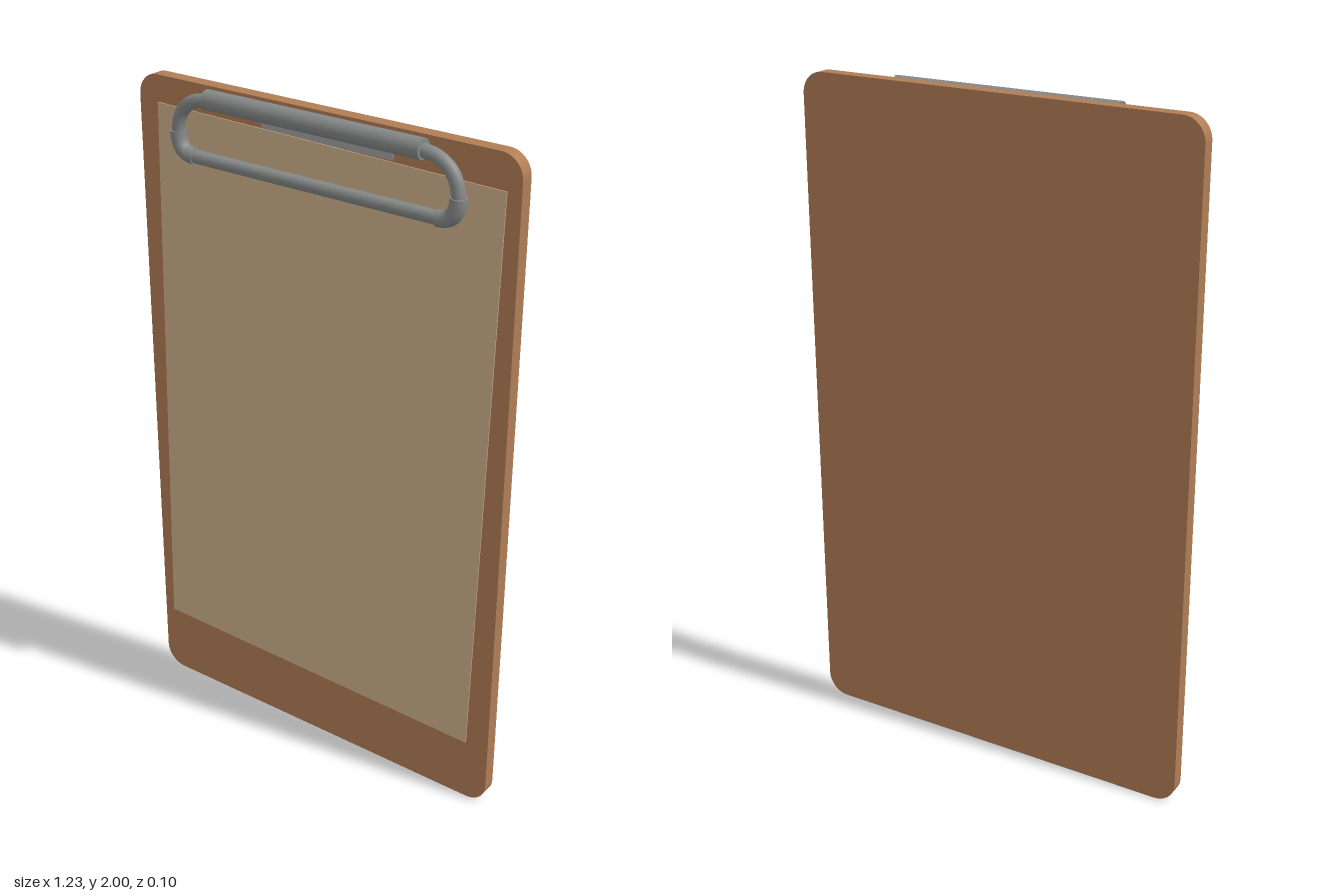
import * as THREE from 'three';

const wood = new THREE.MeshStandardMaterial({ color: 0xb07d56 });
wood.name = 'wood';
const paperTan = new THREE.MeshStandardMaterial({ color: 0xcdb08c });
paperTan.name = 'paper tan';
const steel = new THREE.MeshStandardMaterial({ color: 0x858988 });
steel.name = 'steel';
const paleSteel = new THREE.MeshStandardMaterial({ color: 0xa3a1a2 });
paleSteel.name = 'pale steel';

const CLIP_Z = 0.02;

function add(parent, name, geometry, material, x = 0, y = 0, z = 0) {
  const mesh = new THREE.Mesh(geometry, material);
  mesh.name = name;
  mesh.position.set(x, y, z);
  parent.add(mesh);
  return mesh;
}

// Rectangle with quarter-round corners, standing on y = 0
function roundedRect(halfWidth, height, r) {
  const s = new THREE.Shape();
  s.absarc(halfWidth - r, r, r, -Math.PI / 2, 0);
  s.absarc(halfWidth - r, height - r, r, 0, Math.PI / 2);
  s.absarc(r - halfWidth, height - r, r, Math.PI / 2, Math.PI);
  s.absarc(r - halfWidth, r, r, Math.PI, Math.PI * 1.5);
  s.closePath();
  return s;
}

// Horizontal rod along x
function rod(radius, length) {
  return new THREE.CylinderGeometry(radius, radius, length, 24).rotateZ(Math.PI / 2);
}

// Quarter bend in the plane of the clip
function bend(points, side) {
  const [a, b, c, d] = points.map(([x, y]) => new THREE.Vector3(x * side, y, 0));
  return new THREE.CubicBezierCurve3(a, b, c, d);
}

export function createModel() {
  const model = new THREE.Group();
  model.name = 'clipboard';

  // Board and slightly crooked sheet
  const boardShape = roundedRect(0.615, 2, 0.065);
  add(model, 'board', new THREE.ExtrudeGeometry(boardShape, {
    depth: 0.041, bevelEnabled: false, curveSegments: 8,
  }), wood, 0, 0, -0.05);
  const paper = add(model, 'paper', new THREE.BoxGeometry(1.122, 1.704, 0.003), paperTan, -0.002, 1.061, -0.0055);
  paper.rotation.z = -0.0187;

  // Clip: mounting plate, hinge sleeve and wire loop
  const clip = new THREE.Group();
  clip.name = 'clip';
  clip.position.z = CLIP_Z;
  model.add(clip);
  add(clip, 'mountingPlate', new THREE.BoxGeometry(0.425, 0.06, 0.003), paleSteel, 0.027, 1.942, -0.0285);
  add(clip, 'hingeSleeve', rod(0.028, 0.696), steel, -0.001, 1.972, 0);
  add(clip, 'lowerWire', rod(0.019, 0.82), steel, 0, 1.803, 0);

  for (const side of [-1, 1]) {
    const upper = bend([[0.33, 1.968], [0.42, 1.972], [0.455, 1.92], [0.453, 1.855]], side);
    add(clip, 'upperBend', new THREE.TubeGeometry(upper, 24, 0.019, 16), steel);

    // Thicker elbow with closed ends
    const lower = bend([[0.454, 1.868], [0.452, 1.82], [0.435, 1.803], [0.395, 1.803]], side);
    add(clip, 'elbow', new THREE.TubeGeometry(lower, 20, 0.023, 16), steel);
    for (const t of [0, 1]) {
      const cap = add(clip, 'elbowCap', new THREE.CircleGeometry(0.023, 16), steel);
      cap.position.copy(lower.getPoint(t));
      const outward = lower.getTangent(t).multiplyScalar(t ? 1 : -1);
      cap.quaternion.setFromUnitVectors(new THREE.Vector3(0, 0, 1), outward);
    }
  }
  return model;
}
